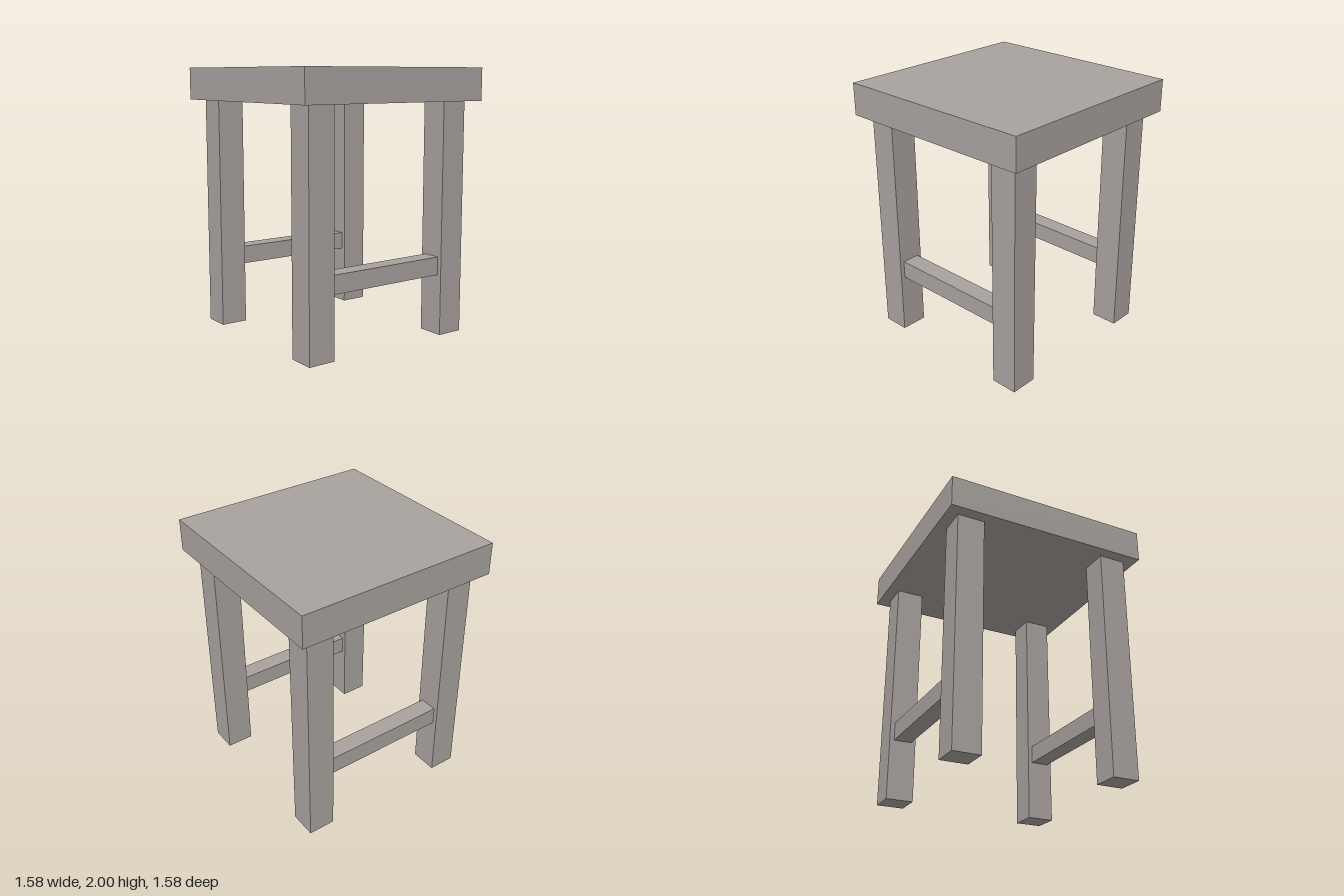
import * as THREE from 'three';

export function createModel() {
  const model = new THREE.Group();
  model.name = 'stool';
  const wood = new THREE.MeshStandardMaterial({ color: 0xa8a29e });
  wood.name = 'greyWood';

  const addBox = (name, w, h, d, x, y, z) => {
    const mesh = new THREE.Mesh(new THREE.BoxGeometry(w, h, d), wood);
    mesh.name = name;
    mesh.position.set(x, y, z);
    model.add(mesh);
  };

  const seatWidth = 1.575, legHeight = 1.757, legWidth = 0.207, legOffset = 0.597;

  // Square slab seat
  addBox('seat', seatWidth, 2 - legHeight, seatWidth, 0, (2 + legHeight) / 2, 0);

  for (const [end, sz] of [['front', 1], ['back', -1]]) {
    // Square legs, inset from the seat edge
    for (const [side, sx] of [['Left', 1], ['Right', -1]]) {
      addBox(`${end}${side}Leg`, legWidth, legHeight, legWidth, sx * legOffset, legHeight / 2, sz * legOffset);
    }
    // Stretcher between the two legs of this end
    addBox(`${end}Stretcher`, 2 * legOffset - legWidth, 0.138, 0.138, 0, 0.529, sz * legOffset);
  }
  return model;
}
